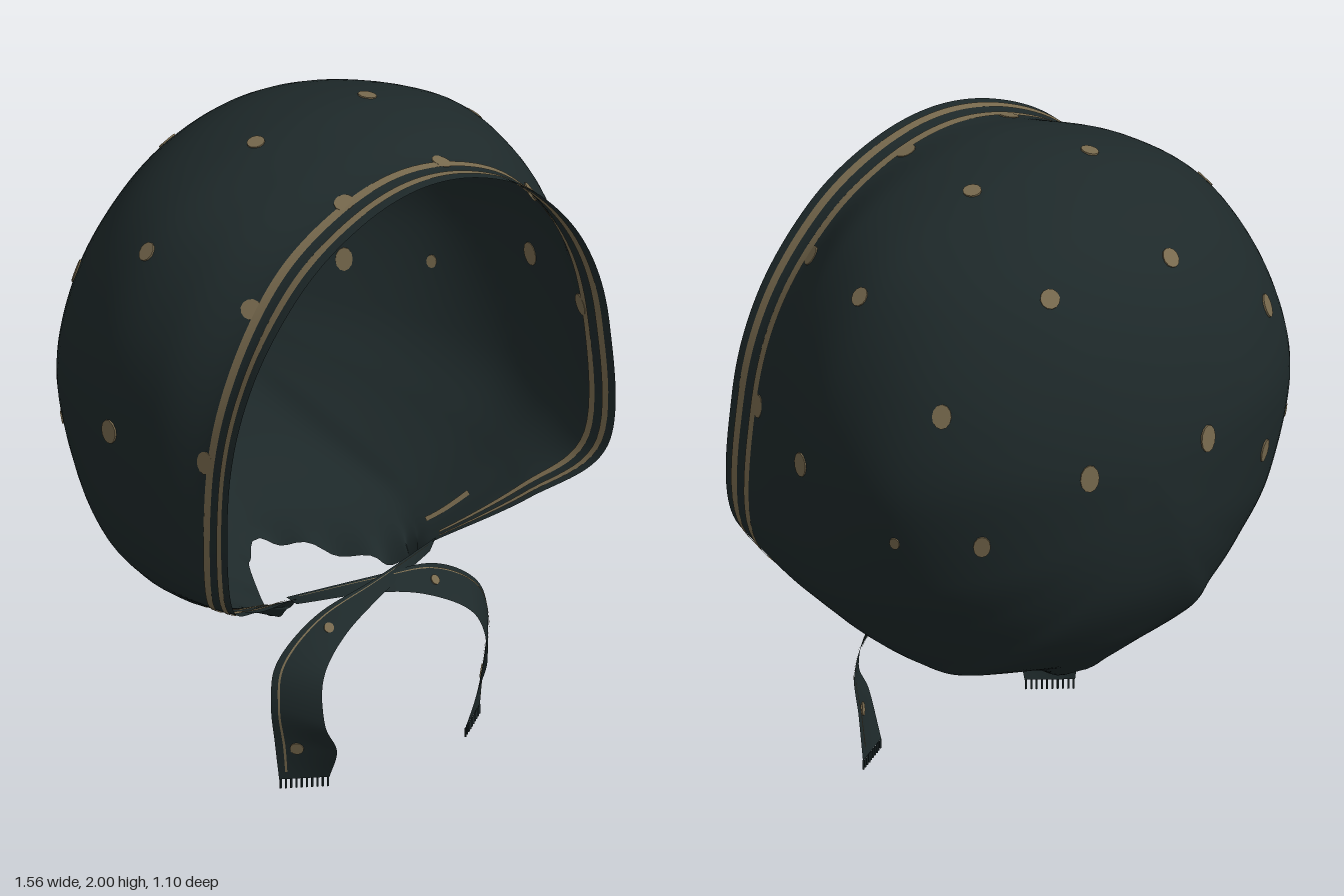
import * as THREE from 'three';
import { mergeVertices } from 'three/addons/utils/BufferGeometryUtils.js';

const V = (x, y, z) => new THREE.Vector3(x, y, z);
const curve = (pts, closed = false) => new THREE.CatmullRomCurve3(pts, closed, 'catmullrom', 0.5);
const smooth = THREE.MathUtils.smoothstep;

// Seams running from the back of the crown to the edge: over the head, then down to the nape
const POLE = V(0, 1.25, -0.55);
const UPPER = [
  [[0, 1.63, -.468], [0, 1.885, -.28], [0, 1.985, 0], [0, 1.99, .24], [0, 1.957, .42], [0, 1.96, .54]],
  [[.15, 1.60, -.468], [.25, 1.84, -.275], [.30, 1.935, 0], [.285, 1.94, .24], [.225, 1.91, .42], [.22, 1.915, .54]],
  [[.27, 1.52, -.467], [.46, 1.72, -.262], [.55, 1.80, 0], [.525, 1.805, .24], [.435, 1.78, .42], [.43, 1.785, .54]],
  [[.36, 1.41, -.466], [.61, 1.52, -.262], [.715, 1.55, 0], [.69, 1.555, .245], [.605, 1.545, .43], [.61, 1.55, .54]],
  [[.40, 1.27, -.465], [.68, 1.25, -.262], [.775, 1.25, 0], [.75, 1.25, .25], [.692, 1.25, .43], [.70, 1.25, .54]],
];
const LOWER = [
  [[.32, 1.05, -.475], [.595, .95, -.28], [.735, .89, 0], [.728, .865, .26], [.698, .84, .43], [.695, .85, .54]],
  [[.24, .97, -.49], [.47, .79, -.30], [.605, .70, -.03], [.60, .675, .19], [.545, .675, .33], [.50, .69, .42]],
  [[.18, .93, -.50], [.36, .71, -.33], [.45, .565, -.08], [.395, .53, .11], [.31, .55, .22], [.25, .58, .29]],
  [[.12, .90, -.505], [.25, .67, -.37], [.33, .54, -.18], [.31, .49, -.01], [.27, .47, .08], [.23, .455, .15]],
  [[0, .88, -.505], [0, .66, -.395], [0, .56, -.31], [0, .50, -.25], [0, .47, -.22], [0, .45, -.19]],
];
const N = 18; // seams all the way round, mirrored in x
const RINGS = [0, 1, 2, 3, 4, 5].map((i) => curve(Array.from({ length: N }, (_, k) => {
  const m = Math.min(k, N - k);
  const p = (m < 5 ? UPPER[m] : LOWER[m - 5])[i];
  return V(k === m ? p[0] : -p[0], p[1], p[2]);
}), true));

// Point on the hood: s is the seam number (-9..9), t runs from crown (0) to edge (1)
function hoodPoint(s, t) {
  const pts = RINGS.map((r) => r.getPoint((s + N) % N / N));
  const behind = V(-pts[0].x, 2 * POLE.y - pts[0].y, pts[0].z);
  const p = curve([behind, POLE, ...pts]).getPoint((1 + 6 * t) / 7);
  // gathers round the neck
  const w = smooth(Math.abs(s), 6.9, 7.7) * smooth(t, 0.6, 1) * Math.sin(Math.abs(s) * 17);
  p.x *= 1 + 0.03 * w;
  p.z *= 1 + 0.03 * w;
  p.y += 0.01 * w;
  return p;
}

// Sheet over part of a surface function, lifted along its normal
function sheet(fn, u0, u1, v0, v1, nu, nv, lift = 0) {
  const pos = [], idx = [], e = 0.004;
  for (let j = 0; j <= nv; j++) {
    for (let i = 0; i <= nu; i++) {
      const u = u0 + (u1 - u0) * i / nu, v = v0 + (v1 - v0) * j / nv;
      const p = fn(u, v);
      if (lift) {
        const du = fn(u + e, v).sub(fn(u - e, v)), dv = fn(u, v + e).sub(fn(u, v - e));
        p.addScaledVector(du.cross(dv).normalize(), lift);
      }
      pos.push(p.x, p.y, p.z);
      if (i < nu && j < nv) {
        const a = j * (nu + 1) + i, b = a + nu + 1;
        idx.push(a, a + 1, b, a + 1, b + 1, b);
      }
    }
  }
  let g = new THREE.BufferGeometry();
  g.setAttribute('position', new THREE.Float32BufferAttribute(pos, 3));
  g.setIndex(idx);
  g = mergeVertices(g, 1e-5);
  g.computeVertexNormals();
  return g;
}

export function createModel() {
  const model = new THREE.Group();
  model.name = 'bonnet';
  const fabric = new THREE.MeshStandardMaterial({ color: 0x1e292a, side: THREE.DoubleSide });
  fabric.name = 'dark teal fabric';
  const print = new THREE.MeshStandardMaterial({ color: 0x786a4e, side: THREE.DoubleSide });
  print.name = 'tan print';
  const add = (parent, name, geo, mat) => {
    const m = new THREE.Mesh(geo, mat);
    m.name = name;
    parent.add(m);
    return m;
  };
  // Printed shape visible on both faces of the cloth
  const printed = (parent, name, fn, u0, u1, v0, v1, nu, nv) => {
    for (const lift of [-0.003, 0.003]) add(parent, name, sheet(fn, u0, u1, v0, v1, nu, nv, lift), print);
  };
  // Thin oval lying in the cloth, its long axis upright
  const dot = (parent, p, n, rx, ry) => {
    const m = add(parent, 'dot', new THREE.CylinderGeometry(1, 1, 0.007, 12), print);
    const up = V(0, 1, 0).addScaledVector(n, -n.y).normalize();
    m.quaternion.setFromRotationMatrix(new THREE.Matrix4().makeBasis(n.clone().cross(up), n, up));
    m.scale.set(rx, 1, ry);
    m.position.copy(p);
  };

  // Hood
  const hood = add(model, 'hood', sheet(hoodPoint, -9, 9, 0, 1, 324, 42), fabric);

  // Two stripes following the face edge, and the short stripe in the neck folds
  printed(model, 'frontEdgeStripe', hoodPoint, -6.9, 6.9, 0.917, 0.957, 130, 2);
  printed(model, 'rearEdgeStripe', hoodPoint, -6.9, 6.9, 0.834, 0.868, 130, 2);
  for (const s of [-1, 1]) printed(model, 'neckStripe', hoodPoint, s * 6.5, s * 7.1, 0.665, 0.69, 16, 1);

  // Dots on the hood, settled onto the nearest cloth
  const P = hood.geometry.attributes.position, Nn = hood.geometry.attributes.normal;
  const dots = [
    [.21, 1.795, -.335, .029, .03], [.57, 1.515, -.31, .028, .036], [.205, 1.295, -.52, .029, .042],
    [.487, 1.11, -.39, .025, .036], [.205, 1.97, .055, .028, .026], [.59, 1.745, .05, .026, .029],
    [.77, 1.245, .092, .029, .037], [.66, 1.11, -.22, .015, .02],
    [.18, 1.93, .42, .03, .03], [.53, 1.71, .42, .032, .03], [.69, 1.26, .42, .028, .035],
  ];
  for (const side of [-1, 1]) {
    for (const [x, y, z, rx, ry] of dots) {
      const p = V(side * x, y, z), q = V(0, 0, 0), best = V(0, 0, 0);
      let d = Infinity, k = 0;
      for (let i = 0; i < P.count; i++) {
        const di = q.fromBufferAttribute(P, i).distanceToSquared(p);
        if (di < d) { d = di; k = i; best.copy(q); }
      }
      const n = V(0, 0, 0).fromBufferAttribute(Nn, k).normalize();
      p.addScaledVector(n, best.sub(p).dot(n));
      dot(model, p, n, rx, ry);
    }
  }

  // Crossed ribbon ties: each starts at one jaw corner and hangs on the other side
  const outer = [[-.27, .585, .27], [0, .58, .33], [.22, .54, .33], [.365, .44, .345], [.40, .32, .36], [.385, .18, .36], [.37, .03, .36]];
  const inner = [[-.24, .555, .28], [0, .54, .36], [.17, .48, .395], [.28, .40, .45], [.30, .27, .48], [.26, .17, .485], [.25, .03, .44]];
  for (const side of [1, -1]) {
    const tie = new THREE.Group();
    tie.name = side > 0 ? 'leftTie' : 'rightTie';
    model.add(tie);
    const edge = (pts) => curve(pts.map(([x, y, z], i) => V(
      side * x,
      y + (side < 0 && i === 6 ? 0.03 : 0),
      z + (side < 0 && i < 3 ? 0.014 : 0))));
    const a = edge(outer), b = edge(inner);
    const ribbon = (u, v) => a.getPoint(THREE.MathUtils.clamp(u, 0, 1)).lerp(b.getPoint(THREE.MathUtils.clamp(u, 0, 1)), v);
    add(tie, 'ribbon', sheet(ribbon, 0, 1, 0, 1, 60, 6), fabric);
    printed(tie, 'ribbonStripe', ribbon, 0.02, 0.96, 0.13, 0.17, 60, 1);
    for (const [u, v, r] of [[0.34, 0.5, 0.015], [0.84, 0.35, 0.02]]) {
      const n = ribbon(u + .01, v).sub(ribbon(u - .01, v)).cross(ribbon(u, v + .1).sub(ribbon(u, v - .1))).normalize();
      dot(tie, ribbon(u, v), n, r, r);
    }
    // Frayed end
    for (let i = 0; i < 10; i++) {
      const f = add(tie, 'fringe', new THREE.BoxGeometry(0.005, 0.03, 0.003), fabric);
      f.position.copy(ribbon(1, (i + 0.3) / 9.6)).y -= 0.015;
    }
  }
  return model;
}
